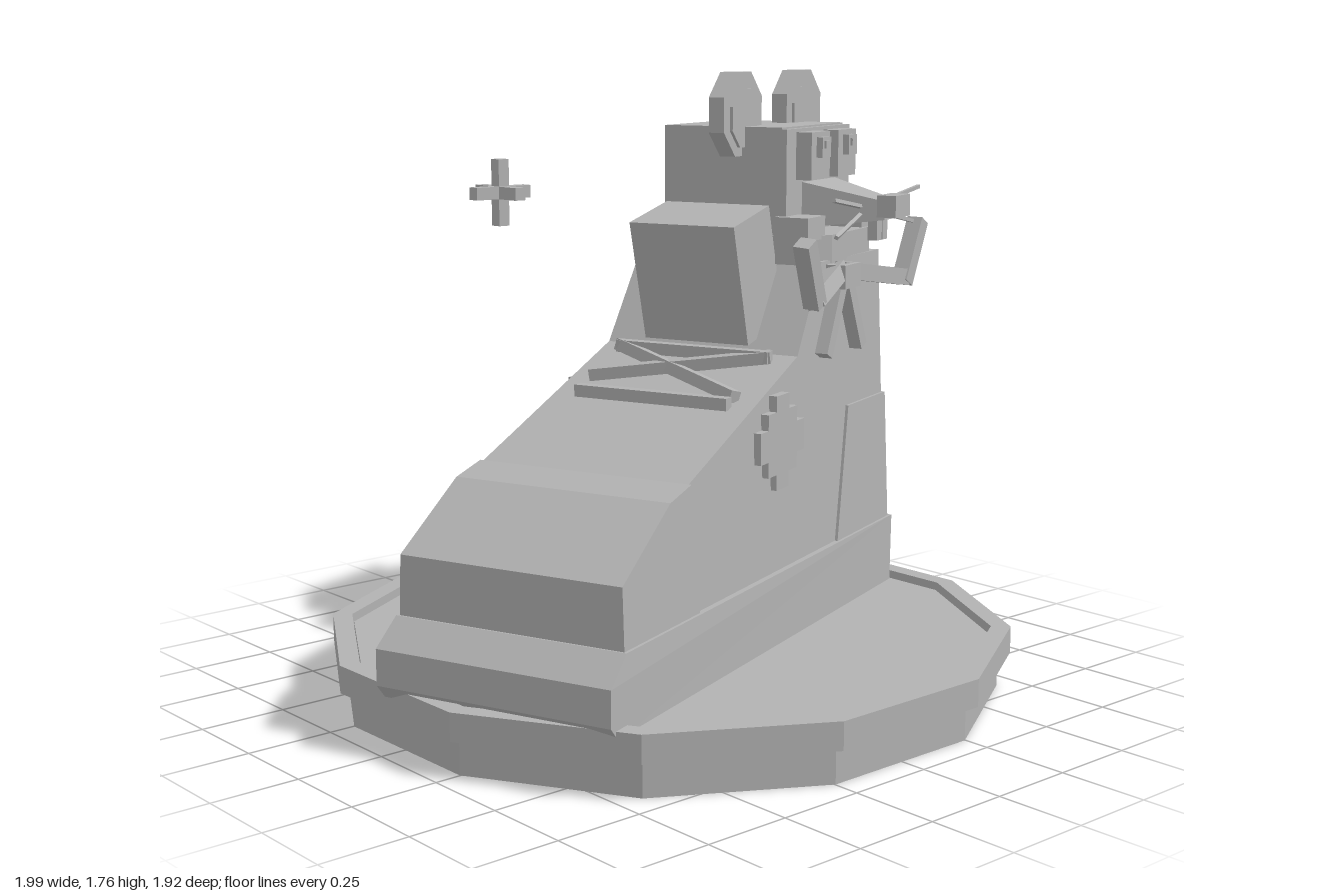
import * as THREE from 'three';

const grey = new THREE.MeshStandardMaterial({ color: 0xb2b2b2 });
grey.name = 'clay grey';

export function createModel() {
  const model = new THREE.Group();
  model.name = 'mouseInBoot';

  function add(parent, name, geometry, x = 0, y = 0, z = 0) {
    const mesh = new THREE.Mesh(geometry, grey);
    mesh.name = name;
    mesh.position.set(x, y, z);
    parent.add(mesh);
    return mesh;
  }
  const box = (parent, name, size, pos) => add(parent, name, new THREE.BoxGeometry(...size), ...pos);

  // Square bar between two points
  function bar(parent, name, a, b, h, d = h) {
    const p = new THREE.Vector3(...a), q = new THREE.Vector3(...b);
    const dir = q.clone().sub(p);
    const mesh = add(parent, name, new THREE.BoxGeometry(dir.length(), h, d));
    mesh.position.copy(p).add(q).multiplyScalar(0.5);
    mesh.quaternion.setFromUnitVectors(new THREE.Vector3(1, 0, 0), dir.normalize());
    return mesh;
  }

  const shapeOf = (pts) => new THREE.Shape(pts.map(([x, y]) => new THREE.Vector2(x, y)));

  // Side profile extruded across the boot; half width is a function of height
  function profile(parent, name, pts, halfWidth) {
    const g = new THREE.ExtrudeGeometry(shapeOf(pts), { depth: 2, bevelEnabled: false });
    g.translate(0, 0, -1);
    const p = g.attributes.position;
    for (let i = 0; i < p.count; i++) p.setZ(i, p.getZ(i) * halfWidth(p.getY(i)));
    g.computeVertexNormals();
    return add(parent, name, g);
  }

  // Regular polygon with flat sides on the axes
  const polygon = (n, apothem) => Array.from({ length: n }, (_, i) => {
    const a = (i + 0.5) * 2 * Math.PI / n, r = apothem / Math.cos(Math.PI / n);
    return [r * Math.cos(a), r * Math.sin(a)];
  });

  // Flat slab from a plan outline, with an optional hole
  function slab(parent, name, pts, y0, y1, hole) {
    const s = shapeOf(pts);
    if (hole) s.holes.push(shapeOf(hole));
    const g = new THREE.ExtrudeGeometry(s, { depth: y1 - y0, bevelEnabled: false });
    g.rotateX(-Math.PI / 2);
    return add(parent, name, g, 0, y0, 0);
  }

  // Twelve-sided plinth with a raised rim
  slab(model, 'plinthFoot', polygon(12, 0.925), 0, 0.1);
  slab(model, 'plinthTop', polygon(12, 0.9), 0.1, 0.155);
  slab(model, 'plinthRim', polygon(12, 0.96), 0.1, 0.178, polygon(12, 0.905));

  // Everything else shares one turned frame: toe at -x, open side at +z
  const figure = new THREE.Group();
  figure.name = 'bootAndMouse';
  figure.rotation.y = THREE.MathUtils.degToRad(20);
  model.add(figure);

  const boot = new THREE.Group();
  boot.name = 'boot';
  figure.add(boot);
  const width = (y) => 0.332 - 0.026 * (y - 0.36) / 0.85;
  const wider = (y) => width(y) + 0.009;

  profile(boot, 'sole', [[-0.9, 0.15], [0.82, 0.15], [0.84, 0.36], [-0.85, 0.36], [-0.935, 0.29], [-0.935, 0.19]],
    (y) => (y > 0.3 ? 0.35 : 0.355));
  profile(boot, 'upper', [[-0.84, 0.35], [0.815, 0.35], [0.8, 1.21], [0.375, 1.21], [0.2, 0.955],
    [-0.3, 0.773], [-0.48, 0.708], [-0.59, 0.68], [-0.84, 0.522]], width);
  profile(boot, 'toeCap', [[-0.845, 0.355], [-0.445, 0.355], [-0.475, 0.711], [-0.59, 0.685], [-0.845, 0.525]], wider);
  profile(boot, 'heelCounter', [[0.44, 0.355], [0.828, 0.355], [0.817, 0.76], [0.535, 0.76]], wider);
  profile(boot, 'tongue', [[0.17, 0.98], [0.4, 1.03], [0.3, 1.376], [0.075, 1.33]], () => 0.17);

  // Collar with cut corners
  slab(boot, 'collar', [[0.345, -0.25], [0.44, -0.31], [0.74, -0.3], [0.805, -0.22], [0.805, 0.22],
    [0.74, 0.3], [0.44, 0.31], [0.345, 0.25]], 1.2, 1.285);

  // Stepped cross patch on both sides
  for (const side of [1, -1]) {
    const patch = new THREE.Group();
    patch.name = side > 0 ? 'frontPatch' : 'backPatch';
    patch.position.set(0.05, 0.735, side * 0.322);
    box(patch, 'patchBar', [0.28, 0.09, 0.04], [0, 0, 0]);
    box(patch, 'patchPost', [0.08, 0.27, 0.04], [0, 0, 0]);
    box(patch, 'patchMiddle', [0.185, 0.18, 0.04], [0, 0, 0]);
    boot.add(patch);
  }

  // Laces lying on the instep
  const lacePoint = (x, z) => [x, 0.9 + (x - 0.05) * 0.37 + 0.017, z];
  [[-0.107, -0.24, -0.107, 0.25], [-0.02, -0.25, 0.155, 0.25], [0.155, -0.25, -0.07, 0.25], [0.15, -0.25, 0.15, 0.25]]
    .forEach(([x0, z0, x1, z1]) => bar(boot, 'lace', lacePoint(x0, z0), lacePoint(x1, z1), 0.035));

  // Bow: knot, two bent loops and two tails
  const bow = new THREE.Group();
  bow.name = 'bow';
  bow.position.x = 0.46;
  boot.add(bow);
  box(bow, 'bowKnot', [0.11, 0.07, 0.07], [0, 1.165, 0.335]);
  for (const s of [1, -1]) {
    bar(bow, 'bowLoop', [0, 1.18, 0.325], [s * 0.33, 1.13, 0.395], 0.05);
    bar(bow, 'bowLoopEnd', [s * 0.32, 1.115, 0.395], [s * 0.415, 1.3, 0.405], 0.05);
    bar(bow, 'bowTail', [s * 0.02, 1.15, 0.335], [s * 0.125, 0.94, 0.335], 0.04);
  }

  // Mouse head, centred on its own face
  const head = new THREE.Group();
  head.name = 'mouseHead';
  head.position.x = 0.568;
  figure.add(head);
  box(head, 'skull', [0.43, 0.4, 0.39], [0, 1.4, -0.01]);
  box(head, 'facePlate', [0.45, 0.28, 0.03], [0, 1.455, 0.19]);

  // Snout: a block tapering forward and down to the nose
  const snout = new THREE.BoxGeometry(1, 1, 1).toNonIndexed();
  const sp = snout.attributes.position;
  for (let i = 0; i < sp.count; i++) {
    const tip = sp.getZ(i) > 0;
    sp.setXYZ(i, sp.getX(i) * (tip ? 0.09 : 0.25),
      (tip ? 1.355 : 1.37) + sp.getY(i) * (tip ? 0.055 : 0.145), tip ? 0.44 : 0.18);
  }
  snout.computeVertexNormals();
  add(head, 'snout', snout);
  box(head, 'nose', [0.11, 0.065, 0.06], [0, 1.368, 0.45]);

  for (const s of [1, -1]) {
    // Eight-sided ears with a raised inner panel
    const ear = (r, d) => new THREE.ExtrudeGeometry(shapeOf(polygon(8, r)), { depth: d, bevelEnabled: false });
    add(head, 'ear', ear(0.123, 0.05), s * 0.21, 1.637, 0.005);
    add(head, 'innerEar', ear(0.085, 0.009), s * 0.21, 1.625, 0.055);

    // Eyes
    box(head, 'eye', [0.13, 0.14, 0.08], [s * 0.095, 1.515, 0.215]);
    box(head, 'pupil', [0.06, 0.06, 0.025], [s * 0.095, 1.54, 0.262]);
    box(head, 'eyeGlint', [0.022, 0.022, 0.008], [s * 0.095 - 0.008, 1.548, 0.278]);

    // Cheeks, teeth and whiskers
    box(head, 'cheek', [0.12, 0.068, 0.11], [s * 0.195, 1.308, 0.235]);
    box(head, 'tooth', [0.036, 0.07, 0.03], [s * 0.021, 1.3, 0.4]);
    bar(head, 'upperWhisker', [s * 0.05, 1.365, 0.37], [s * 0.32, 1.403, 0.4], 0.011);
    bar(head, 'lowerWhisker', [s * 0.05, 1.345, 0.37], [s * 0.3, 1.295, 0.4], 0.011);
  }

  // Floating sparkle made of three crossed bars
  const sparkle = new THREE.Group();
  sparkle.name = 'sparkle';
  sparkle.position.set(-0.865, 1.492, 0.375);
  model.add(sparkle);
  for (const size of [[0.16, 0.03, 0.03], [0.03, 0.16, 0.03], [0.03, 0.03, 0.16]]) {
    box(sparkle, 'sparkleBar', size, [0, 0, 0]);
  }

  return model;
}
